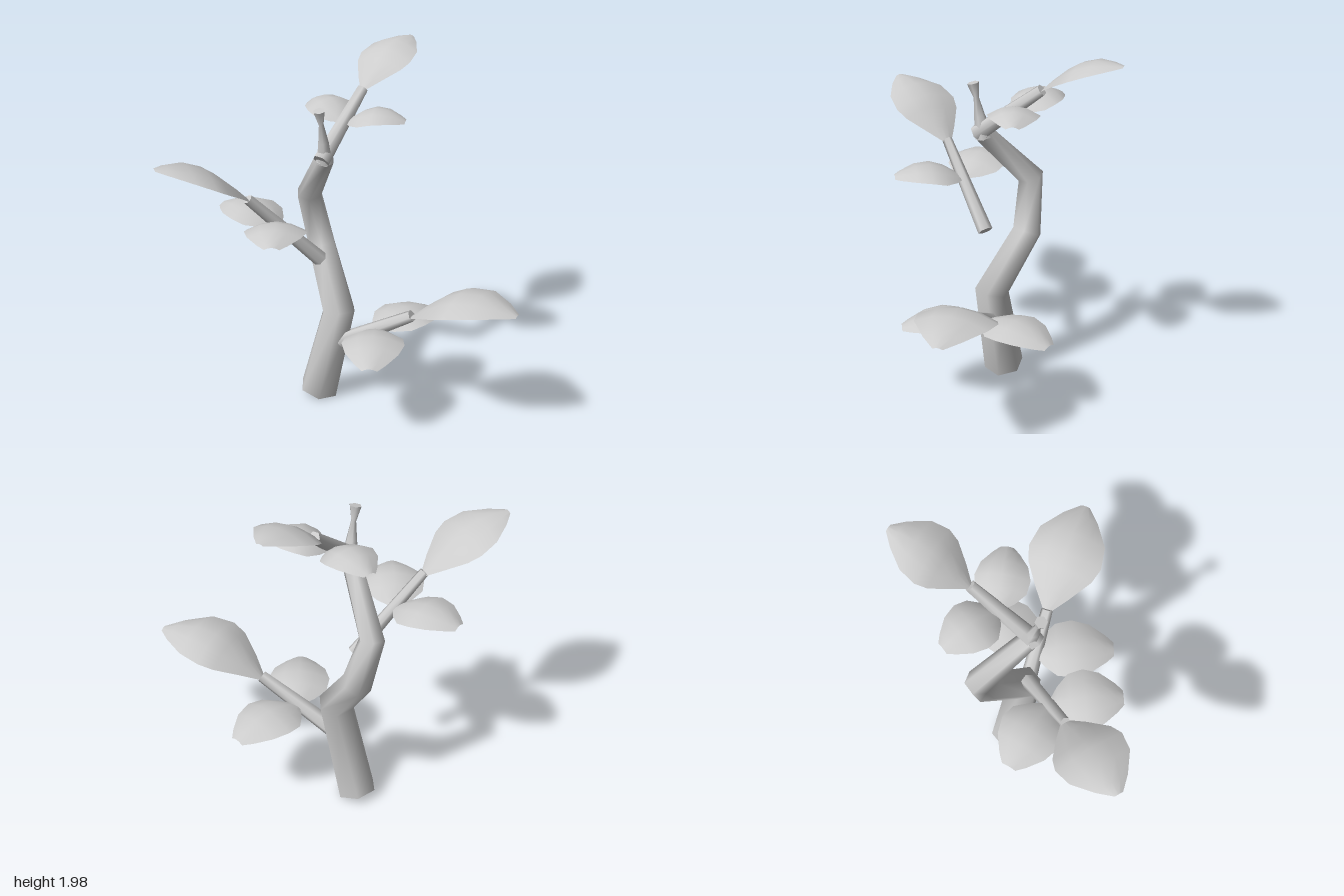
import * as THREE from 'three';

const SIDES = 6;

// Six-sided limb swept through [x, y, z, radius] points, with flat end caps.
function limb(points) {
  const centres = points.map((p) => new THREE.Vector3(p[0], p[1], p[2]));
  const last = centres.length - 1;
  const pos = [], idx = [];
  const ring = (i) => {
    const t = new THREE.Vector3();
    if (i > 0) t.add(centres[i].clone().sub(centres[i - 1]).normalize());
    if (i < last) t.add(centres[i + 1].clone().sub(centres[i]).normalize());
    t.normalize();
    const ref = Math.abs(t.x) > 0.75 ? new THREE.Vector3(0, 0, 1) : new THREE.Vector3(1, 0, 0);
    const u = ref.addScaledVector(t, -ref.dot(t)).normalize();
    const v = t.clone().cross(u);
    for (let k = 0; k < SIDES; k++) {
      const a = (k / SIDES) * Math.PI * 2;
      const p = centres[i].clone()
        .addScaledVector(u, Math.cos(a) * points[i][3])
        .addScaledVector(v, Math.sin(a) * points[i][3]);
      pos.push(p.x, p.y, p.z);
    }
  };
  for (let i = 0; i <= last; i++) ring(i);
  for (let i = 0; i < last; i++) {
    for (let k = 0; k < SIDES; k++) {
      const a = i * SIDES + k, b = i * SIDES + ((k + 1) % SIDES);
      idx.push(a, b, b + SIDES, a, b + SIDES, a + SIDES);
    }
  }
  // Caps use their own vertices so the rim stays sharp
  for (const end of [0, last]) {
    const s = pos.length / 3;
    ring(end);
    for (let k = 1; k < SIDES - 1; k++) {
      if (end === 0) idx.push(s, s + k + 1, s + k);
      else idx.push(s, s + k, s + k + 1);
    }
  }
  return build(pos, idx);
}

function build(pos, idx) {
  const g = new THREE.BufferGeometry();
  g.setAttribute('position', new THREE.Float32BufferAttribute(pos, 3));
  g.setIndex(idx);
  g.computeVertexNormals();
  return g;
}

// Leaf stations: [fraction along, fraction of half width]
const LONG = [[0, 0.1], [0.14, 0.46], [0.33, 0.88], [0.46, 1], [0.66, 0.9], [0.87, 0.48], [1, 0.12]];
const ROUND = [[0, 0.12], [0.12, 0.55], [0.28, 0.92], [0.48, 1], [0.7, 0.84], [0.9, 0.48], [1, 0.24]];
const ACROSS = 4;

// Arched leaf from base to tip; bulge lifts the midrib, droop lowers the edges.
function leaf(base, tip, half, bulge, droop, stations) {
  const a = new THREE.Vector3(...base), b = new THREE.Vector3(...tip);
  const side = new THREE.Vector3(-(b.z - a.z), 0, b.x - a.x).normalize();
  const pos = [], idx = [];
  stations.forEach(([t, w], i) => {
    const mid = a.clone().lerp(b, t);
    mid.y += bulge * Math.sin(Math.PI * t);
    for (let j = 0; j <= ACROSS; j++) {
      const s = (j / ACROSS) * 2 - 1;
      const p = mid.clone().addScaledVector(side, s * w * half);
      p.y -= droop * s * s * w;
      pos.push(p.x, p.y, p.z);
      if (i > 0 && j > 0) {
        const q = i * (ACROSS + 1) + j, r = q - ACROSS - 1;
        idx.push(r - 1, r, q, r - 1, q, q - 1);
      }
    }
  });
  // Wind the faces so the upper side is the front
  for (let k = 0; k < idx.length; k += 3) [idx[k + 1], idx[k + 2]] = [idx[k + 2], idx[k + 1]];
  return build(pos, idx);
}

export function createModel() {
  const root = new THREE.Group();
  root.name = 'plant';
  const grey = new THREE.MeshStandardMaterial({ color: 0xcccccc, side: THREE.DoubleSide });
  grey.name = 'plain grey';
  const add = (name, geometry) => {
    const mesh = new THREE.Mesh(geometry, grey);
    mesh.name = name;
    root.add(mesh);
  };

  // Crooked trunk with a pinched stub on top
  add('trunk', limb([
    [-0.35, 0.03, -0.07, 0.112],
    [-0.2, 0.57, -0.045, 0.098],
    [-0.39, 0.87, -0.185, 0.083],
    [-0.465, 1.17, -0.18, 0.072],
    [-0.24, 1.48, 0.02, 0.052],
  ]));
  add('trunkTip', limb([
    [-0.24, 1.46, 0.015, 0.05],
    [-0.235, 1.58, 0.042, 0.03],
    [-0.235, 1.68, 0.06, 0.014],
    [-0.235, 1.76, 0.078, 0.033],
  ]));

  // Branches
  add('lowerBranch', limb([[-0.18, 0.385, -0.045, 0.05], [0.235, 0.625, -0.085, 0.033]]));
  add('middleBranch', limb([[-0.275, 0.89, 0.02, 0.042], [-0.525, 1.3, 0.33, 0.028]]));
  add('upperBranch', limb([[-0.24, 1.475, 0.055, 0.05], [-0.2, 1.775, -0.31, 0.032]]));

  // Large leaf at the end of each branch
  add('lowerEndLeaf', leaf([0.23, 0.62, -0.085], [0.845, 0.77, -0.105], 0.215, 0.135, 0.06, LONG));
  add('middleEndLeaf', leaf([-0.52, 1.29, 0.32], [-0.82, 1.545, 0.725], 0.19, 0.09, 0.05, LONG));
  add('upperEndLeaf', leaf([-0.2, 1.775, -0.31], [-0.145, 1.97, -0.75], 0.162, 0.085, 0.05, LONG));

  // Pairs of smaller leaves part way along the branches
  const pairs = [
    ['lower', [0.02, 0.5, -0.075], [[0.21, 0.49, 0.335], [0.17, 0.49, -0.485]], 0.17],
    ['middle', [-0.42, 1.13, 0.2], [[-0.81, 1.165, 0.14], [-0.245, 1.165, 0.54]], 0.165],
    ['upper', [-0.215, 1.635, -0.16], [[-0.51, 1.67, -0.325], [0.1, 1.67, -0.245]], 0.14],
  ];
  for (const [name, base, tips, half] of pairs) {
    tips.forEach((tip, i) => {
      add(`${name}SideLeaf${i + 1}`, leaf(base, tip, half, 0.07, 0.05, ROUND));
    });
  }
  return root;
}
